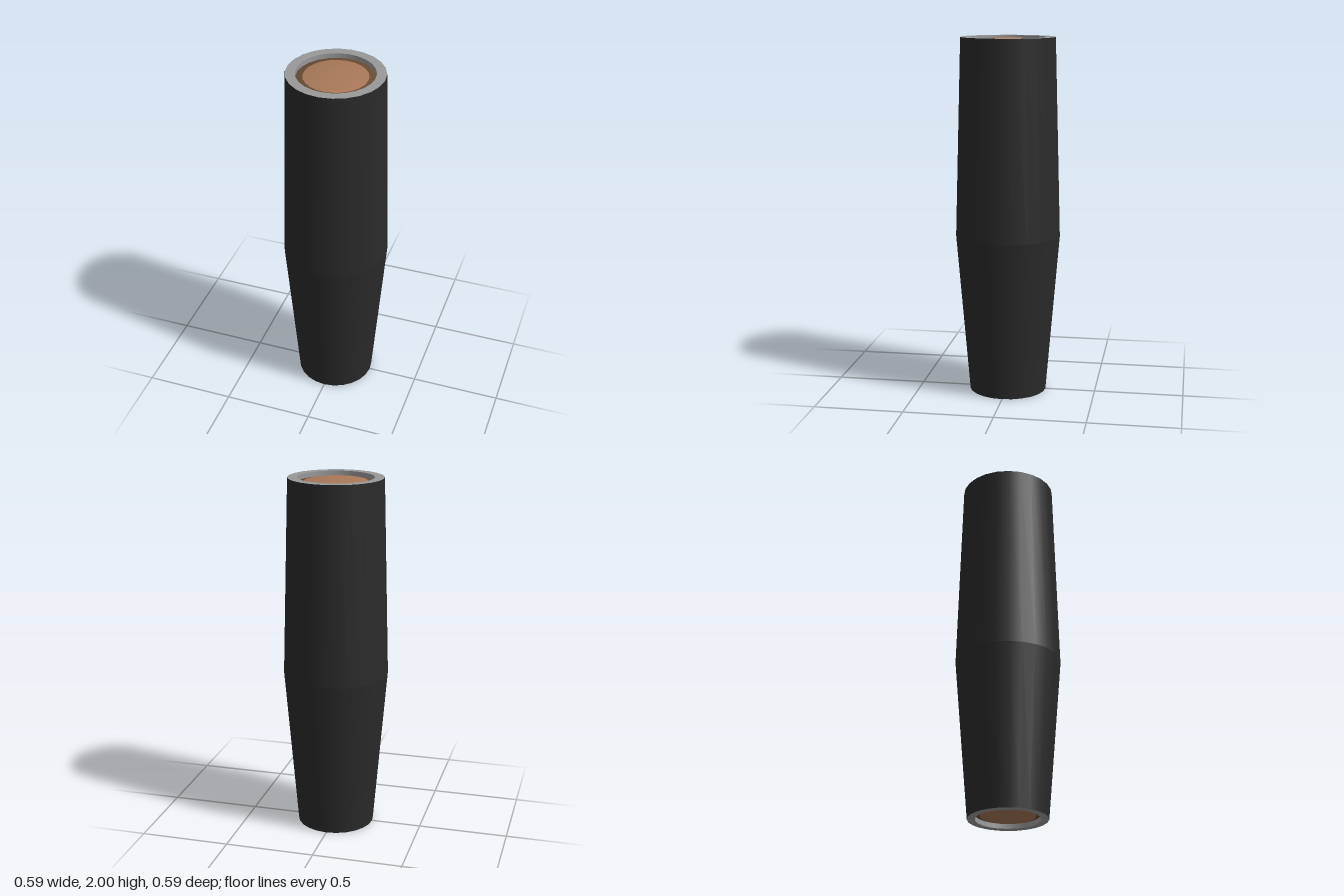
import * as THREE from 'three';

const SIDES = 24;
const paint = (name, color) => {
  const material = new THREE.MeshStandardMaterial({ color });
  material.name = name;
  return material;
};

export function createModel() {
  const group = new THREE.Group();
  group.name = 'opticTube';

  const black = paint('black', 0x2a2a2a);
  const grey = paint('grey', 0x999999);
  const copper = paint('copper', 0xa87858);
  const brown = paint('darkBrown', 0x684c34);

  // Turned surface; the profile runs counter-clockwise so faces point outward
  const turn = (name, profile, material, sides = SIDES) => {
    const points = profile.map(([r, y]) => new THREE.Vector2(r, y));
    const mesh = new THREE.Mesh(new THREE.LatheGeometry(points, sides), material);
    mesh.name = name;
    group.add(mesh);
  };

  // Tapered outer body, widest below the middle
  turn('lowerBody', [[0.217, 0], [0.293, 0.9]], black);
  turn('upperBody', [[0.293, 0.9], [0.262, 2]], black);

  // Each end: flat rim, short inner wall, lens edge and domed lens
  const ends = [
    { name: 'top', y: 2, dir: -1, outer: 0.262, inner: 0.21, lens: 0.172 },
    { name: 'bottom', y: 0, dir: 1, outer: 0.217, inner: 0.175, lens: 0.15 },
  ];
  for (const { name, y, dir, outer, inner, lens } of ends) {
    const depth = (d) => y + dir * d;
    const order = (profile) => (dir < 0 ? profile : profile.reverse());
    turn(name + 'Rim', order([[outer, y], [inner, y]]), grey);
    turn(name + 'InnerWall', order([[inner, y], [inner, depth(0.027)]]), grey);
    turn(name + 'LensEdge', order([[inner, depth(0.027)], [lens, depth(0.019)]]), brown);
    const dome = [];
    for (let i = 0; i <= 6; i++) {
      const t = 1 - i / 6;
      dome.push([lens * t, depth(0.003 + 0.016 * t * t)]);
    }
    turn(name + 'Lens', order(dome), copper);
  }
  return group;
}
